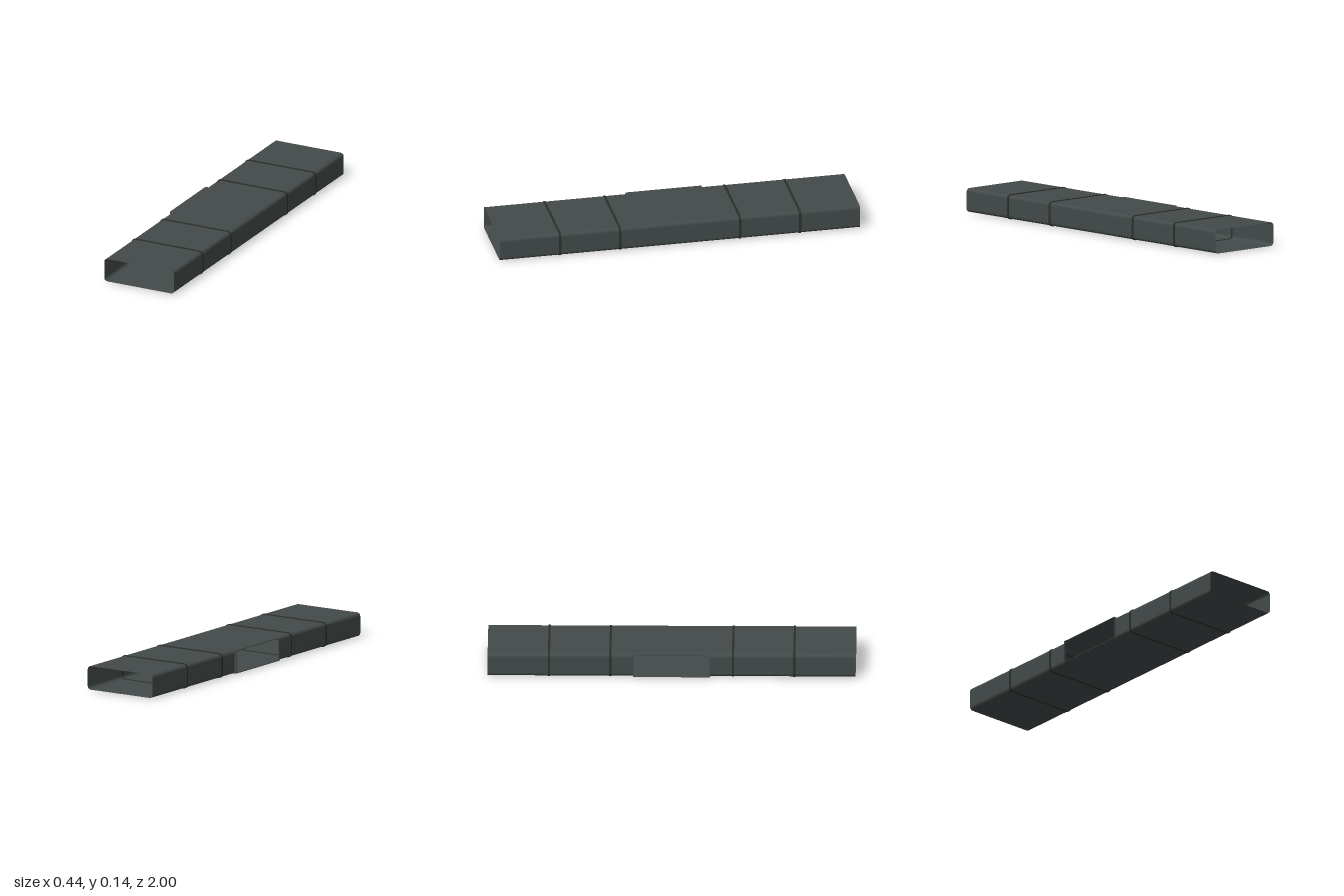
import * as THREE from 'three';

const CX = 0.003, CY = 0.0685; // duct centre line
const HW = 0.213, HH = 0.065, R = 0.018; // half width, half height, corner radius
const SEG = 4;
const HOLE = 0.208; // half length of the side opening

// Rounded rectangle, counter-clockwise from the bottom right corner to the bottom left one
function section(grow) {
  const pts = [], r = R + grow;
  [[1, -1], [1, 1], [-1, 1], [-1, -1]].forEach(([sx, sy], c) => {
    for (let i = 0; i <= SEG; i++) {
      const a = (c - 1 + i / SEG) * Math.PI / 2;
      pts.push(new THREE.Vector2(
        CX + sx * (HW - R) + r * Math.cos(a),
        CY + sy * (HH - R) + r * Math.sin(a)));
    }
  });
  return pts;
}

// Thin sheet following a section from z0 to z1
function sheet(pts, z0, z1) {
  const pos = [];
  for (let i = 0; i < pts.length - 1; i++) {
    const a = pts[i], b = pts[i + 1];
    pos.push(a.x, a.y, z0, b.x, b.y, z0, b.x, b.y, z1);
    pos.push(a.x, a.y, z0, b.x, b.y, z1, a.x, a.y, z1);
  }
  const g = new THREE.BufferGeometry();
  g.setAttribute('position', new THREE.Float32BufferAttribute(pos, 3));
  g.computeVertexNormals();
  return g;
}

export function createModel() {
  const model = new THREE.Group();
  model.name = 'airDuct';
  const metal = new THREE.MeshStandardMaterial({ color: 0x434a49, side: THREE.DoubleSide, flatShading: true });
  metal.name = 'ductMetal';
  const dark = new THREE.MeshStandardMaterial({ color: 0x2a2f2e, flatShading: true });
  dark.name = 'darkRib';
  const add = (geo, mat, name, parent = model) => {
    const m = new THREE.Mesh(geo, mat);
    m.name = name;
    parent.add(m);
    return m;
  };

  // Duct: closed ends, and a middle stretch with the side left open
  const loop = section(0);
  const closed = [...loop, loop[0]];
  add(sheet(closed, HOLE, 1), metal, 'frontDuct');
  add(sheet(closed, -1, -HOLE), metal, 'backDuct');
  const n = loop.length;
  const open = [loop[n - 2], loop[n - 1], ...loop.slice(0, 2 * (SEG + 1) + 2)];
  add(sheet(open, -HOLE, HOLE), metal, 'middleDuct');

  // Stiffening ribs around the duct
  for (const z of [-2 / 3, -1 / 3, 1 / 3, 2 / 3]) {
    const shape = new THREE.Shape(section(0.0035));
    shape.holes.push(new THREE.Path(section(-0.002).reverse()));
    const geo = new THREE.ExtrudeGeometry(shape, { depth: 0.012, bevelEnabled: false });
    add(geo, dark, 'rib').position.z = z - 0.006;
  }

  // Short collar around the side opening
  const collar = new THREE.Group();
  collar.name = 'sideCollar';
  model.add(collar);
  for (const s of [-1, 1]) {
    add(new THREE.BoxGeometry(0.0215, 0.003, 0.42), metal, 'collarRail', collar)
      .position.set(-0.20875, CY + s * 0.062, 0);
    add(new THREE.BoxGeometry(0.0105, 0.127, 0.004), metal, 'collarPost', collar)
      .position.set(-0.21425, CY, s * HOLE);
  }
  return model;
}
